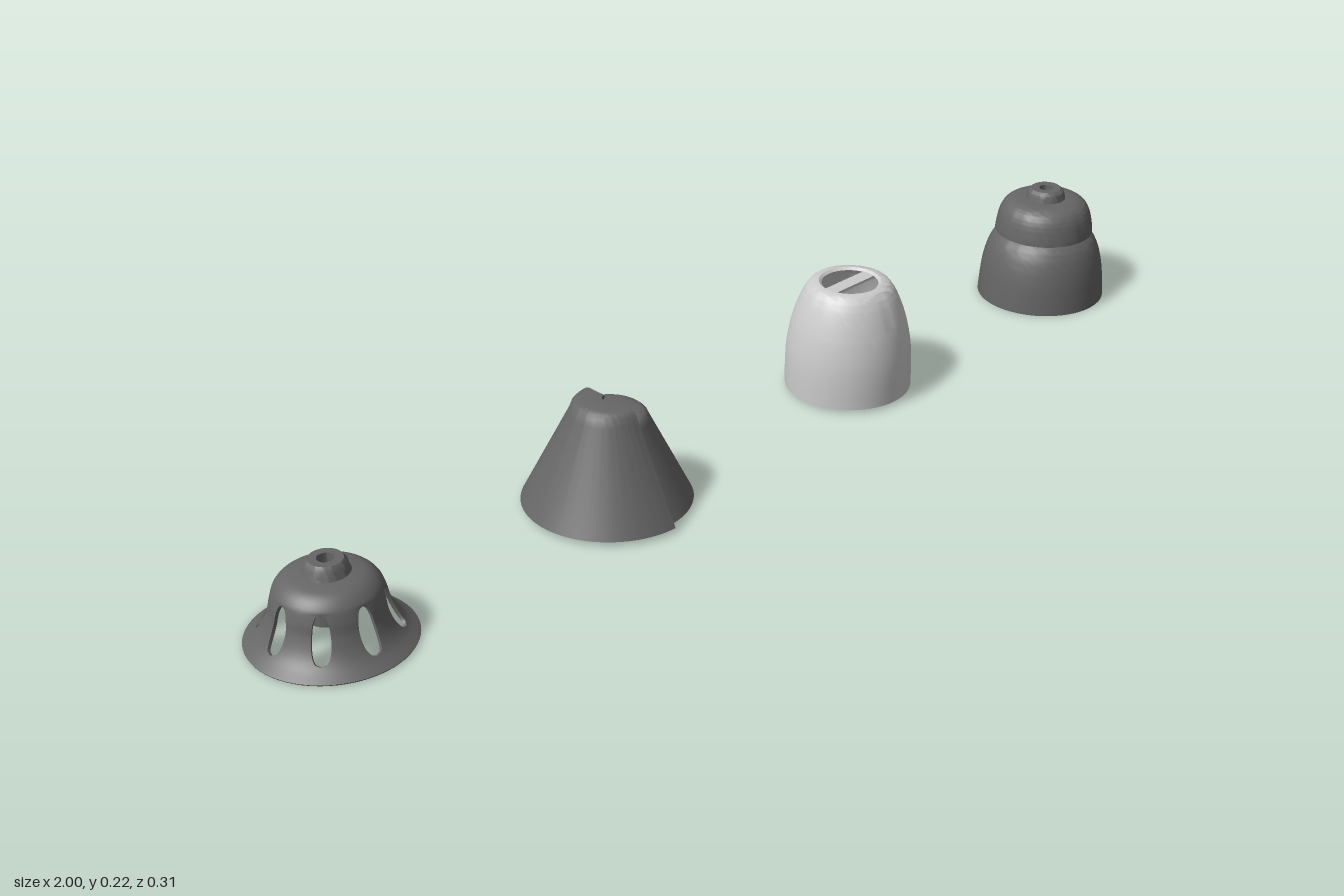
import * as THREE from 'three';
import { toCreasedNormals, mergeGeometries } from 'three/addons/utils/BufferGeometryUtils.js';
import { ParametricGeometry } from 'three/addons/geometries/ParametricGeometry.js';

const metal = new THREE.MeshStandardMaterial({ color: 0x666666, side: THREE.DoubleSide });
const glass = new THREE.MeshStandardMaterial({ color: 0xcccccc, side: THREE.DoubleSide });

const vecs = (pts) => pts.map(([r, y]) => new THREE.Vector2(r, y));
const smooth = (pts, n = 20) => new THREE.SplineCurve(vecs(pts)).getPoints(n);

function part(name, geometry, material, parent) {
  const mesh = new THREE.Mesh(geometry, material);
  mesh.name = name;
  parent.add(mesh);
  return mesh;
}

// Revolve a closed cross-section, keeping its hard edges sharp
function revolve(loop, start = 0, sweep = Math.PI * 2, segments = 64) {
  const lathe = new THREE.LatheGeometry([...loop, loop[0].clone()], segments, start, sweep);
  return toCreasedNormals(lathe, 0.6);
}

// Closed cross-section of a thin wall, from an outer profile and the same profile pulled inwards
function wall(outer, dr, dy) {
  const inner = outer.map((p) => new THREE.Vector2(Math.max(p.x - dr, 0.013), p.y - dy));
  inner[0].y = outer[0].y;
  return [...outer, ...inner.reverse()];
}

// Flared shade with eight oval slots, a collar and a hanging socket
function slottedShade() {
  const group = new THREE.Group();
  group.name = 'slottedShade';
  const curve = new THREE.SplineCurve(vecs([
    [0.137, 0.005], [0.118, 0.02], [0.105, 0.037], [0.095, 0.06], [0.09, 0.082],
    [0.082, 0.102], [0.064, 0.117], [0.034, 0.124]]));
  const step = Math.PI / 8;
  const slotStart = 0.16, slotEnd = 0.64;
  const slotAngle = (v) => {
    const s = (v - (slotStart + slotEnd) / 2) / ((slotEnd - slotStart) / 2);
    return Math.abs(s) < 1 ? 0.16 * Math.pow(1 - s * s, 0.4) : 0;
  };
  const place = (angle, v, inset, target) => {
    const p = curve.getPointAt(Math.min(Math.max(v, 0), 1));
    const r = p.x - inset;
    target.set(r * Math.sin(angle), p.y - inset * 0.5, r * Math.cos(angle));
  };
  const pieces = [];
  for (let i = 0; i < 8; i++) for (const side of [-1, 1]) {
    const centre = i * step * 2;
    // Outer and inner skins run from the slot edge to the middle of the rib
    for (const inset of [0, 0.005]) {
      pieces.push(new ParametricGeometry((u, v, t) => {
        const a = slotAngle(v);
        place(centre + side * (a + (step - a) * u), v, inset, t);
      }, 5, 50));
    }
    // Thickness of the slot edge
    pieces.push(new ParametricGeometry((u, v, t) => {
      const w = slotStart + (slotEnd - slotStart) * v;
      place(centre + side * slotAngle(w), w, u * 0.005, t);
    }, 1, 24));
  }
  part('slottedBody', mergeGeometries(pieces), metal, group);
  part('rim', revolve(vecs([[0.137, 0.005], [0.136, 0.003], [0.131, 0.002], [0.132, 0.005]])), metal, group);
  part('collar', revolve(vecs([
    [0.039, 0.122], [0.036, 0.128], [0.034, 0.138], [0.028, 0.145], [0.014, 0.145], [0.014, 0.118], [0.036, 0.118]])), metal, group);
  part('socket', revolve(vecs([
    [0.046, 0.118], [0.046, 0.075], [0.041, 0.07], [0.041, 0.045], [0.031, 0.045], [0.031, 0.112], [0.014, 0.114], [0.014, 0.12]])), metal, group);
  return group;
}

// Cone made from two half shells of different size meeting at a seam
function splitShade() {
  const group = new THREE.Group();
  group.name = 'splitShade';
  const halves = [
    ['largeHalf', Math.PI, [[0.154, 0.01], [0.069, 0.174], [0.064, 0.187], [0.058, 0.193], [0.05, 0.196], [0.013, 0.196]]],
    ['smallHalf', 0, [[0.141, 0.01], [0.07, 0.158], [0.066, 0.167], [0.06, 0.172], [0.052, 0.174], [0.013, 0.174]]],
  ];
  for (const [name, start, pts] of halves) {
    const half = new THREE.Group();
    half.name = name;
    const loop = wall(vecs(pts), 0.008, 0.007);
    part('shell', revolve(loop, start, Math.PI, 48), metal, half);
    // Cut faces along the seam
    for (const turn of [-1, 1]) {
      part('seamFace', new THREE.ShapeGeometry(new THREE.Shape(loop)), metal, half).rotation.y = turn * Math.PI / 2;
    }
    half.position.x = start ? 0.004 : 0;
    group.add(half);
  }
  return group;
}

// Light bell with an open top crossed by a bar
function bellShade() {
  const group = new THREE.Group();
  group.name = 'bellShade';
  const outer = smooth([[0.115, 0.008], [0.115, 0.055], [0.112, 0.095], [0.103, 0.14], [0.088, 0.182], [0.074, 0.205], [0.066, 0.21]], 28);
  outer.push(new THREE.Vector2(0.056, 0.211));
  part('bell', revolve(wall(outer, 0.005, 0.004)), glass, group);
  part('topBar', new THREE.BoxGeometry(0.112, 0.005, 0.026), glass, group).position.y = 0.205;
  return group;
}

// Two stacked domes joined by a hollow stem
function tieredShade() {
  const group = new THREE.Group();
  group.name = 'tieredShade';
  const lower = smooth([[0.122, 0.002], [0.12, 0.03], [0.116, 0.065], [0.108, 0.098], [0.096, 0.122], [0.08, 0.136], [0.058, 0.144], [0.036, 0.146]], 28);
  const upper = smooth([[0.094, 0.134], [0.092, 0.15], [0.087, 0.172], [0.077, 0.189], [0.06, 0.198], [0.036, 0.2]], 24);
  part('lowerDome', revolve(wall(lower, 0.005, 0.004)), metal, group);
  part('upperDome', revolve(wall(upper, 0.005, 0.004)), metal, group);
  part('stem', revolve(vecs([[0.04, 0.138], [0.04, 0.198], [0.013, 0.198], [0.013, 0.138]])), metal, group);
  part('topCollar', revolve(vecs([
    [0.038, 0.199], [0.036, 0.207], [0.034, 0.214], [0.028, 0.219], [0.013, 0.219], [0.013, 0.195], [0.036, 0.195]])), metal, group);
  return group;
}

export function createModel() {
  const model = new THREE.Group();
  model.name = 'lampShades';
  const row = [[slottedShade, -0.863], [splitShade, -0.277], [bellShade, 0.316], [tieredShade, 0.878]];
  for (const [make, x] of row) {
    const shade = make();
    shade.position.x = x;
    model.add(shade);
  }
  return model;
}
